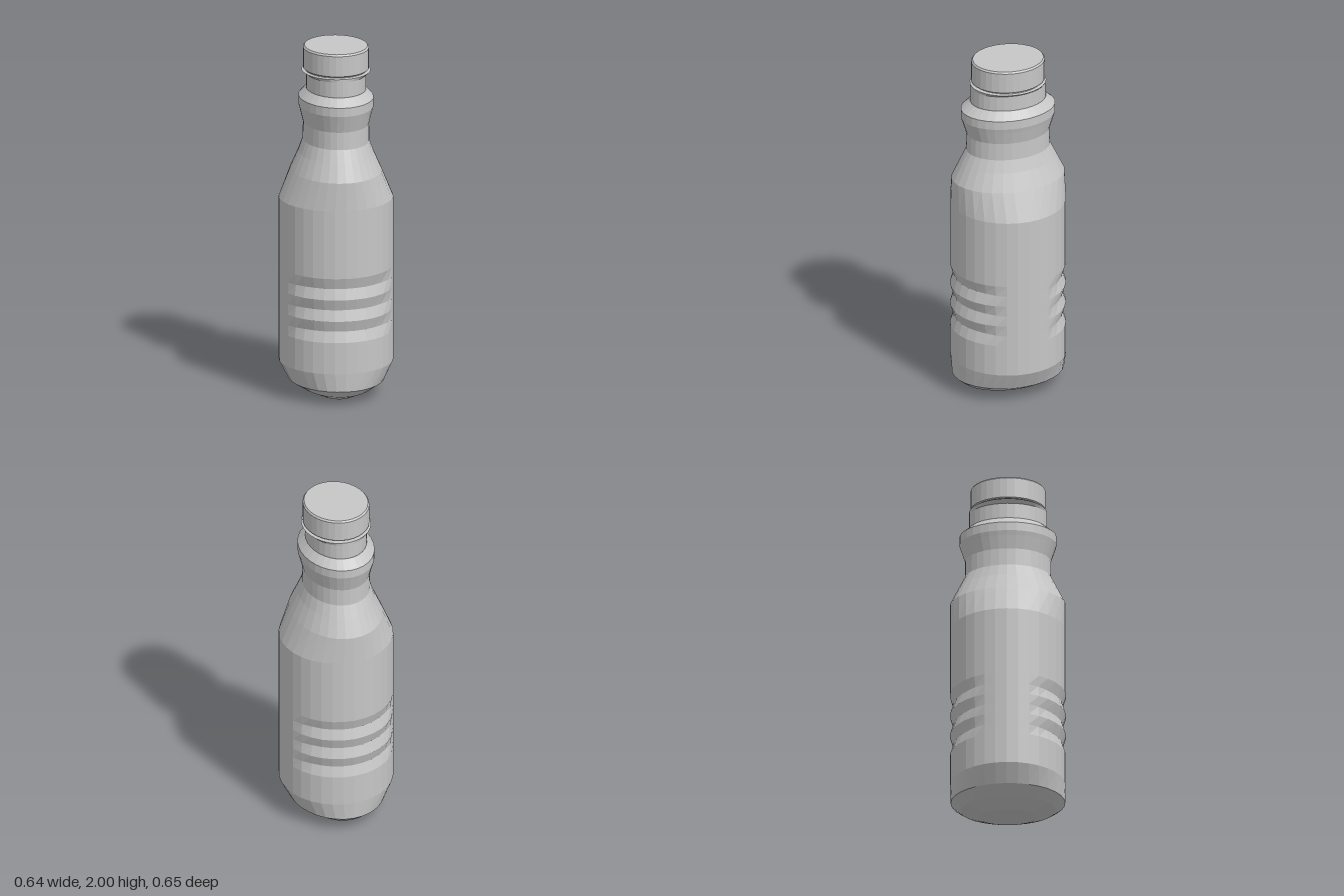
import * as THREE from 'three';

const SIDES = 32;

// Faceted skin through elliptical rings [y, rx, rz, grooveDepth], closed at both ends.
function loft(rings) {
  const pos = [], idx = [];
  for (const [y, rx, rz, groove = 0] of rings) {
    for (let i = 0; i < SIDES; i++) {
      const a = (i / SIDES) * Math.PI * 2;
      const c = Math.cos(a), s = Math.sin(a);
      // Grooves are pressed into the front and back and fade out at the sides
      const k = 1 - groove * THREE.MathUtils.smoothstep(Math.abs(s), 0.35, 0.8);
      pos.push(c * rx * k, y, s * rz * k);
    }
  }
  for (let r = 0; r < rings.length - 1; r++) {
    for (let i = 0; i < SIDES; i++) {
      const j = (i + 1) % SIDES;
      const a = r * SIDES + i, b = r * SIDES + j;
      idx.push(a, a + SIDES, b, b, a + SIDES, b + SIDES);
    }
  }
  const top = (rings.length - 1) * SIDES;
  for (let i = 1; i < SIDES - 1; i++) {
    idx.push(0, i, i + 1);
    idx.push(top, top + i + 1, top + i);
  }
  const indexed = new THREE.BufferGeometry();
  indexed.setAttribute('position', new THREE.Float32BufferAttribute(pos, 3));
  indexed.setIndex(idx);
  const geo = indexed.toNonIndexed(); // separate corners give flat facets
  geo.computeVertexNormals();
  return geo;
}

export function createModel() {
  const group = new THREE.Group();
  const plastic = new THREE.MeshStandardMaterial({ color: 0xc6c6c6 });
  plastic.name = 'grey plastic';

  const add = (name, rings) => {
    const mesh = new THREE.Mesh(loft(rings), plastic);
    mesh.name = name;
    group.add(mesh);
  };

  // Three pressed grooves around the lower body
  const W = 0.318, D = 0.323;
  const grooves = [[0.37, W, D]];
  for (let i = 0; i < 3; i++) {
    const y = 0.37 + i * 0.123;
    grooves.push([y + 0.061, W, D, 0.06], [y + 0.123, W, D]);
  }

  add('body', [
    [0, 0.105, 0.165],
    [0.04, 0.19, 0.265],
    [0.085, 0.265, 0.318],
    [0.19, W, D],
    ...grooves,
    [1.13, W, D],
    [1.29, 0.252, D],
    [1.39, 0.208, 0.275],
    [1.46, 0.184, 0.24],
    [1.56, 0.182, 0.238],
    [1.635, 0.2, 0.262],
    [1.66, 0.207, 0.27],
    [1.71, 0.207, 0.27],
    [1.755, 0.166, 0.217],
  ]);

  add('neck', [
    [1.75, 0.166, 0.216],
    [1.843, 0.166, 0.216],
    [1.86, 0.192, 0.216],
    [1.862, 0.182, 0.205],
  ]);

  add('neckGap', [
    [1.855, 0.172, 0.19],
    [1.875, 0.172, 0.19],
  ]);

  add('cap', [
    [1.869, 0.177, 0.202],
    [1.874, 0.183, 0.208],
    [1.99, 0.183, 0.208],
    [2, 0.175, 0.2],
  ]);

  return group;
}
